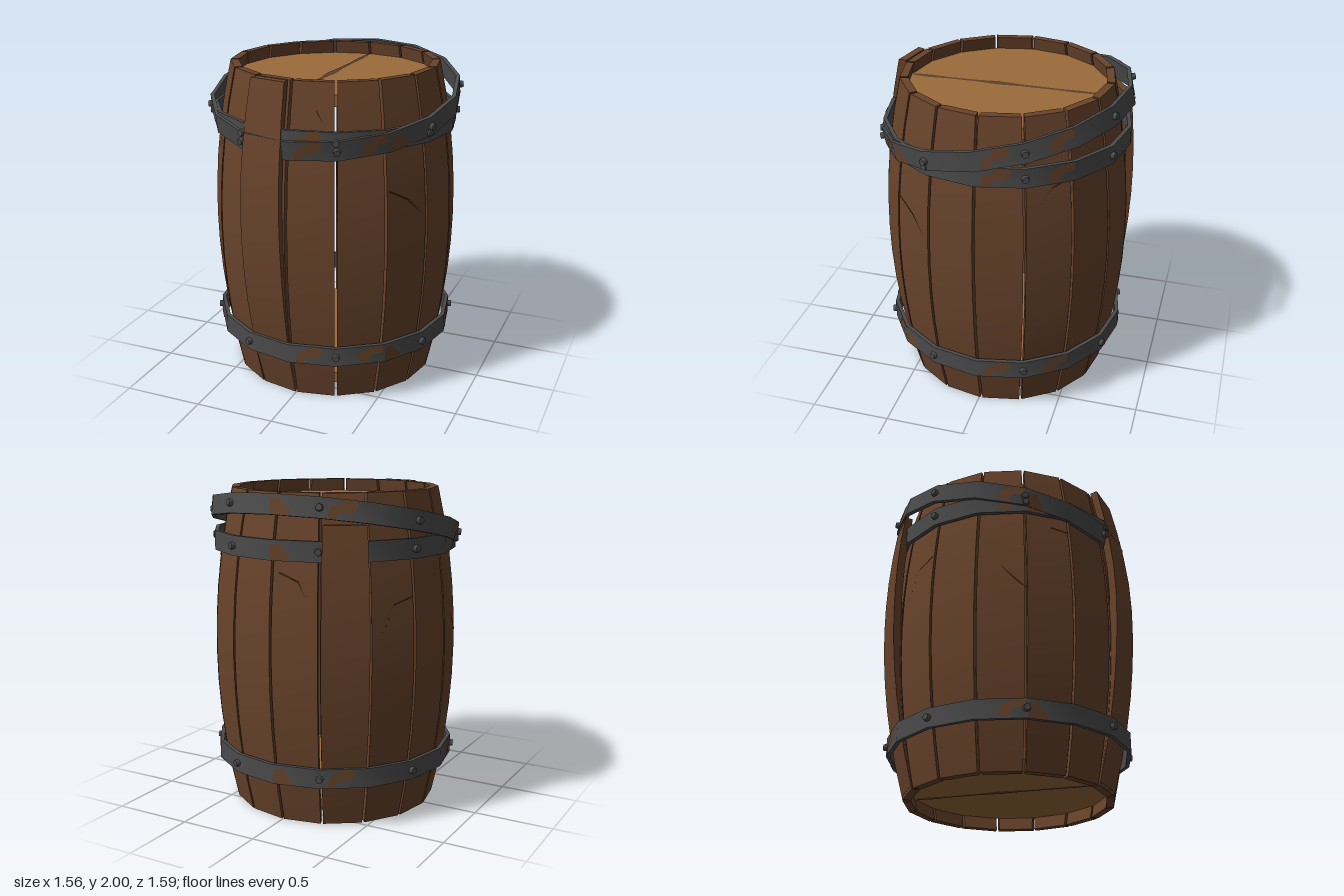
import * as THREE from 'three';
import { toCreasedNormals } from 'three/addons/utils/BufferGeometryUtils.js';

const mat = (name, color, side = THREE.FrontSide) => {
  const m = new THREE.MeshStandardMaterial({ color, side });
  m.name = name;
  return m;
};
const deg = Math.PI / 180;
const STAVES = 16, STEP = 22.5, HALF = 11.25 * deg, THICK = 0.05, GAP = 0.016;

// Barrel outline: corner radius at height y
const bulge = (y) => 0.77 - 0.12 * (y - 1) ** 2;

export function createModel() {
  const wood = mat('stave wood', 0x68432b);
  const headWood = mat('head wood', 0x9c6b3c);
  const iron = mat('iron', 0x4b4b4c);
  const rust = mat('rust', 0x66432b, THREE.DoubleSide);
  const crackDark = mat('wood crack', 0x2e1d12, THREE.DoubleSide);
  const headCrack = mat('head crack', 0x5f4029, THREE.DoubleSide);

  const model = new THREE.Group();
  const barrel = new THREE.Group();
  barrel.name = 'barrel';
  barrel.position.z = -0.015;
  model.add(barrel);

  const add = (parent, name, geo, material) => {
    const mesh = new THREE.Mesh(geo, material);
    mesh.name = name;
    parent.add(mesh);
    return mesh;
  };

  // A curved plank between y0 and y1, pushed outward by lift(y)
  const plank = (name, angle, y0, y1, lift) => {
    const geo = new THREE.BoxGeometry(1, 1, 1, 1, 10, 1);
    const p = geo.attributes.position;
    for (let i = 0; i < p.count; i++) {
      const y = y0 + (p.getY(i) + 0.5) * (y1 - y0);
      const r = bulge(y) - (p.getZ(i) > 0 ? 0 : THICK);
      const x = r * Math.sin(HALF) - GAP / 2;
      p.setXYZ(i, Math.sign(p.getX(i)) * x, y, r * Math.cos(HALF) + lift(y));
    }
    geo.computeVertexNormals();
    add(barrel, name, geo, wood).rotation.y = angle * deg;
  };
  for (let i = 0; i < STAVES; i++) plank('stave', (i + 0.5) * STEP, 0, 2, () => 0);

  // Two sprung planks standing proud of the wall
  plank('looseFrontStave', -11.25, 0.02, 2, (y) => Math.min(0.045 * y, 0.06));
  plank('looseBackStave', 213.75, 0.02, 1.83, (y) => 0.047 * y);

  // Heads, each with a jagged split down the middle
  const split = new THREE.Shape();
  const edge = [[0.014, -0.6], [0.022, -0.5], [0.012, -0.38], [0.01, -0.2], [0.022, -0.06],
    [0.012, 0.08], [0.012, 0.3], [0.018, 0.42], [0.01, 0.6]];
  const left = [...edge].reverse().map(([w, z]) => [-w * (Math.abs(z) < 0.3 ? 1.3 : 0.8), z]);
  split.setFromPoints([...edge, ...left].map(([x, z]) => new THREE.Vector2(x, z)));
  for (const [name, y, face] of [['topHead', 1.885, 1], ['bottomHead', 0.115, -1]]) {
    const head = add(barrel, name, new THREE.CylinderGeometry(0.62, 0.62, 0.07, STAVES), headWood);
    head.position.y = y;
    const line = add(barrel, name + 'Crack', new THREE.ShapeGeometry(split), headCrack);
    line.rotation.x = -face * Math.PI / 2;
    line.position.y = y + face * 0.038;
  }

  // Fine cracks on the stave faces: points are [across, height]
  const crack = (angle, pts) => {
    const pos = [], idx = [];
    pts.forEach(([u, y], i) => {
      const w = i === pts.length - 1 ? 0.001 : 0.005;
      const z = bulge(y) * Math.cos(HALF) + 0.004;
      pos.push(u, y - w, z, u + w, y + w, z);
      if (i) idx.push(2 * i - 2, 2 * i, 2 * i - 1, 2 * i - 1, 2 * i, 2 * i + 1);
    });
    const geo = new THREE.BufferGeometry();
    geo.setAttribute('position', new THREE.Float32BufferAttribute(pos, 3));
    geo.setIndex(idx);
    geo.computeVertexNormals();
    add(barrel, 'staveCrack', geo, crackDark).rotation.y = angle * deg;
  };
  crack(56.25, [[-0.13, 1.37], [0, 1.3], [0.1, 1.2]]);
  crack(-56.25, [[0.13, 1.53], [0.02, 1.55], [-0.03, 1.45]]);
  crack(-78.75, [[0.13, 1.1], [0.06, 1.17], [0, 1.24]]);
  crack(123.75, [[0.12, 1.62], [0.02, 1.58], [-0.06, 1.48]]);
  crack(236.25, [[0.13, 1.4], [0, 1.36], [-0.07, 1.2]]);
  crack(11.25, [[0.02, 1.84], [0.06, 1.78]]);
  crack(191.25, [[-0.1, 1.55], [0.02, 1.5], [0.06, 1.42]]);

  // Rust blotches: outlines on one flat of a hoop, [across, height]
  const blotches = [
    [[-0.1, -0.06], [-0.06, -0.06], [-0.04, -0.02], [0.04, -0.01], [0.07, 0.03], [0.05, 0.06],
      [-0.02, 0.06], [-0.03, 0.03], [-0.09, 0.01]],
    [[-0.02, -0.04], [0.05, -0.05], [0.08, 0], [0.14, 0.01], [0.14, 0.06], [0.06, 0.05], [0, 0.02]],
    [[-0.14, -0.06], [-0.03, -0.06], [-0.02, -0.03], [-0.06, 0], [-0.08, 0.04], [-0.14, 0.03]],
  ];

  // Hoop: square-section ring with rivets and rust
  const hoop = (name, R, y, tilt, turn) => {
    const g = new THREE.Group();
    g.name = name;
    g.position.y = y;
    g.rotation.x = tilt;
    const ring = [[R, -0.06], [R, 0.06], [R - 0.025, 0.06], [R - 0.025, -0.06], [R, -0.06]];
    const geo = new THREE.LatheGeometry(ring.map(([a, b]) => new THREE.Vector2(a, b)), STAVES);
    add(g, 'hoopBand', toCreasedNormals(geo, 0.6), iron);
    for (let i = 0; i < 8; i++) {
      const a = (STEP + i * 45) * deg;
      const rivet = add(g, 'rivet', new THREE.CylinderGeometry(0.02, 0.025, 0.03, 8), iron);
      rivet.rotation.set(Math.PI / 2, 0, -a, 'YXZ');
      rivet.rotation.set(Math.PI / 2, a, 0, 'YXZ');
      rivet.position.set(Math.sin(a) * (R + 0.005), 0, Math.cos(a) * (R + 0.005));
    }
    [[0, 0], [1, 1], [2, 2], [4, 0], [5, 1], [8, 2], [9, 0], [12, 1], [13, 2]].forEach(([k, b]) => {
      const shape = new THREE.Shape(blotches[b].map(([u, v]) => new THREE.Vector2(u, v)));
      const patch = new THREE.ShapeGeometry(shape);
      patch.translate(0, 0, R * Math.cos(HALF) + 0.003);
      add(g, 'rustPatch', patch, rust).rotation.y = (k + turn + 0.5) * STEP * deg;
    });
    barrel.add(g);
  };
  hoop('lowerHoop', 0.762, 0.33, 0, 0);
  hoop('upperHoop', 0.762, 1.68, 0, 0);
  hoop('slippedHoop', 0.78, 1.78, 0.21, 0);

  return model;
}
